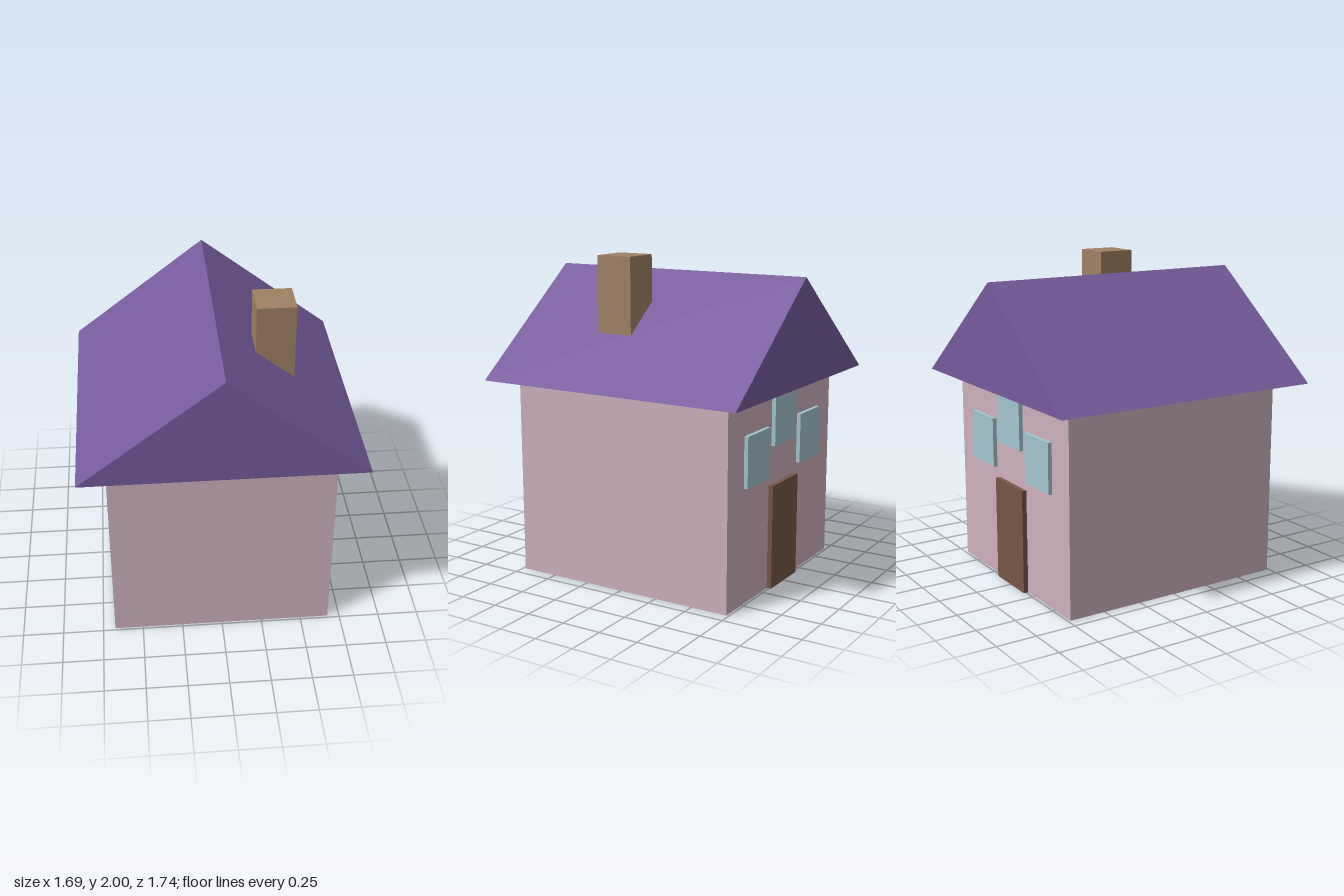
import * as THREE from 'three';

const material = (name, color) => {
  const m = new THREE.MeshStandardMaterial({ color });
  m.name = name;
  return m;
};

// Box given by its extents along each axis
function block(name, mat, [x0, x1], [y0, y1], [z0, z1]) {
  const mesh = new THREE.Mesh(new THREE.BoxGeometry(x1 - x0, y1 - y0, z1 - z0), mat);
  mesh.position.set((x0 + x1) / 2, (y0 + y1) / 2, (z0 + z1) / 2);
  mesh.name = name;
  return mesh;
}

export function createModel() {
  const house = new THREE.Group();
  house.name = 'house';

  const wallPink = material('wall pink', 0xcdb0bd);
  const roofPurple = material('roof purple', 0x765a9c);
  const chimneyBrown = material('chimney brown', 0xa08063);
  const glassBlue = material('glass blue', 0xa3c5ce);
  const doorBrown = material('door brown', 0x745646);

  // Walls
  const back = -0.735;
  house.add(block('walls', wallPink, [-0.675, 0.675], [0, 1.24], [back, 0.735]));

  // Gabled roof: a solid triangular prism overhanging the walls
  const gable = new THREE.Shape([
    new THREE.Vector2(-0.843, 1.24),
    new THREE.Vector2(0.843, 1.24),
    new THREE.Vector2(0, 1.89),
  ]);
  const roof = new THREE.Mesh(
    new THREE.ExtrudeGeometry(gable, { depth: 1.744, bevelEnabled: false }).translate(0, 0, -0.872),
    roofPurple
  );
  roof.name = 'roof';
  house.add(roof);

  // Chimney, sunk into the roof slope
  house.add(block('chimney', chimneyBrown, [0.23, 0.464], [1.4, 2], [0.05, 0.285]));

  // Door and three windows on the back wall
  house.add(block('door', doorBrown, [-0.17, 0.17], [0, 0.65], [-0.765, back + 0.01]));
  for (const [name, x, y] of [
    ['leftWindow', 0.343, 0.865],
    ['middleWindow', 0, 1.045],
    ['rightWindow', -0.343, 0.865],
  ]) {
    house.add(block(name, glassBlue, [x - 0.14, x + 0.14], [y - 0.155, y + 0.155], [-0.76, back + 0.01]));
  }

  return house;
}
